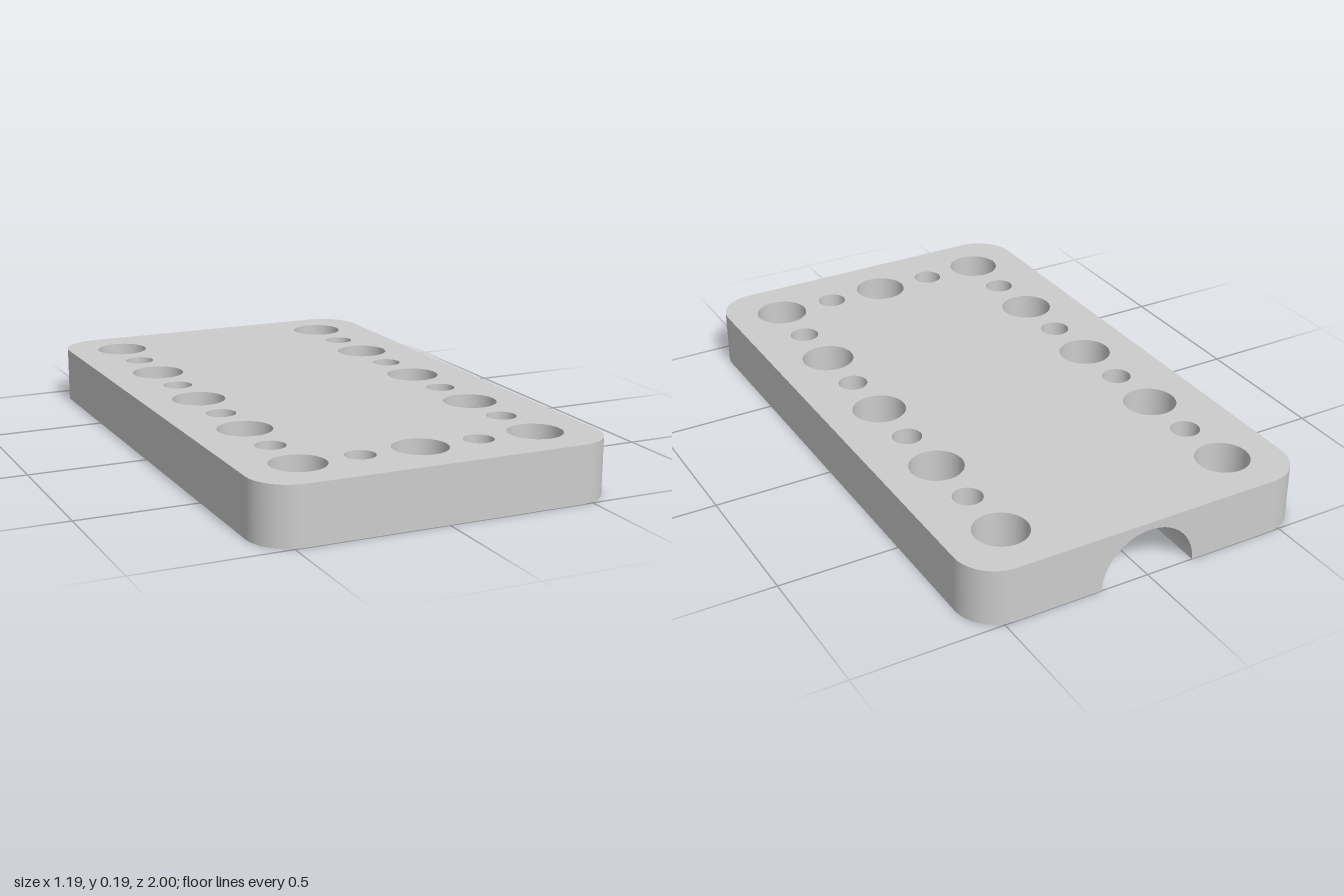
import * as THREE from 'three';

const W = 0.595, L = 1, H = 0.19, CORNER = 0.135;   // half width, half length, height
const GROOVE = 0.165, GROOVE_END = 0.663;           // groove radius, front end in z
const CX = W - CORNER, CZ = L - CORNER, Q = Math.PI / 2;
const SEG = 48;

// Hole layout as [x, z, radius]: rows down both sides and along the front
const holes = [];
for (let i = 0; i < 9; i++) {
  const radius = i % 2 ? 0.049 : 0.089;
  for (const side of [-1, 1]) holes.push([side * 0.405, -0.81 + i * 0.2025, radius]);
}
holes.push([-0.2025, 0.81, 0.049], [0, 0.81, 0.089], [0.2025, 0.81, 0.049]);

// Flat face from an outline drawn in (x, z), with the given holes cut out
function face(shape, cuts) {
  for (const [x, z, r] of cuts) shape.holes.push(new THREE.Path().absarc(x, z, r, 0, 4 * Q, true));
  return new THREE.ShapeGeometry(shape, SEG / 2).rotateX(Q);
}

// Turns a surface to face the other way
function flip(geometry) {
  const index = geometry.index.array, n = geometry.attributes.normal;
  for (let i = 0; i < index.length; i += 3) [index[i], index[i + 1]] = [index[i + 1], index[i]];
  for (let i = 0; i < n.count; i++) n.setXYZ(i, -n.getX(i), -n.getY(i), -n.getZ(i));
  return geometry;
}

export function createModel() {
  const group = new THREE.Group();
  const grey = new THREE.MeshStandardMaterial({ color: 0xcccccc });
  grey.name = 'grey';

  function add(name, geometry, x = 0, y = 0, z = 0) {
    const mesh = new THREE.Mesh(geometry, grey);
    mesh.name = name;
    mesh.position.set(x, y, z);
    group.add(mesh);
  }

  // Top face
  const top = new THREE.Shape();
  top.absarc(CX, -CZ, CORNER, -Q, 0);
  top.absarc(CX, CZ, CORNER, 0, Q);
  top.absarc(-CX, CZ, CORNER, Q, 2 * Q);
  top.absarc(-CX, -CZ, CORNER, 2 * Q, 3 * Q);
  top.closePath();
  add('topFace', flip(face(top, holes)), 0, H, 0);

  // Underside: a strip on each side of the groove and a panel in front of it
  for (const s of [-1, 1]) {
    const strip = new THREE.Shape();
    strip.moveTo(s * GROOVE, GROOVE_END);
    strip.lineTo(s * GROOVE, -L);
    strip.absarc(s * CX, -CZ, CORNER, -Q, s > 0 ? 0 : -2 * Q, s < 0);
    strip.lineTo(s * W, GROOVE_END);
    strip.closePath();
    add(s > 0 ? 'bottomLeft' : 'bottomRight',
      face(strip, holes.filter(([x, z]) => x * s > 0 && z < GROOVE_END)));
  }
  const panel = new THREE.Shape();
  panel.moveTo(-W, GROOVE_END);
  panel.lineTo(W, GROOVE_END);
  panel.absarc(CX, CZ, CORNER, 0, Q);
  panel.absarc(-CX, CZ, CORNER, Q, 2 * Q);
  panel.closePath();
  add('bottomFront', face(panel, holes.filter(([, z]) => z > GROOVE_END)));

  // Straight outer walls
  add('frontWall', new THREE.PlaneGeometry(2 * CX, H), 0, H / 2, L);
  for (const s of [-1, 1]) {
    add(s > 0 ? 'leftWall' : 'rightWall',
      new THREE.PlaneGeometry(2 * CZ, H).rotateY(s * Q), s * W, H / 2, 0);
  }

  // Back wall with the arched groove mouth
  const back = new THREE.Shape();
  back.moveTo(-CX, 0);
  back.lineTo(-GROOVE, 0);
  back.absarc(0, 0, GROOVE, Math.PI, 0, true);
  back.lineTo(CX, 0);
  back.lineTo(CX, H);
  back.lineTo(-CX, H);
  back.closePath();
  add('backWall', new THREE.ShapeGeometry(back, SEG / 2).rotateY(Math.PI), 0, 0, -L);

  // Rounded vertical corners
  [[1, 1], [1, -1], [-1, -1], [-1, 1]].forEach(([sx, sz], i) => {
    add('corner', new THREE.CylinderGeometry(CORNER, CORNER, H, SEG / 2, 1, true, i * Q, Q),
      sx * CX, H / 2, sz * CZ);
  });

  // Hole walls
  for (const [x, z, r] of holes) {
    add('holeWall', flip(new THREE.CylinderGeometry(r, r, H, SEG, 1, true)), x, H / 2, z);
  }

  // Half-round groove underneath, with its flat closed end
  const groove = new THREE.CylinderGeometry(GROOVE, GROOVE, GROOVE_END + L, SEG, 1, true, -Q, Math.PI);
  add('groove', flip(groove.rotateX(-Q)), 0, 0, (GROOVE_END - L) / 2);
  add('grooveEnd', new THREE.CircleGeometry(GROOVE, SEG, 0, Math.PI).rotateY(Math.PI), 0, 0, GROOVE_END);

  return group;
}
